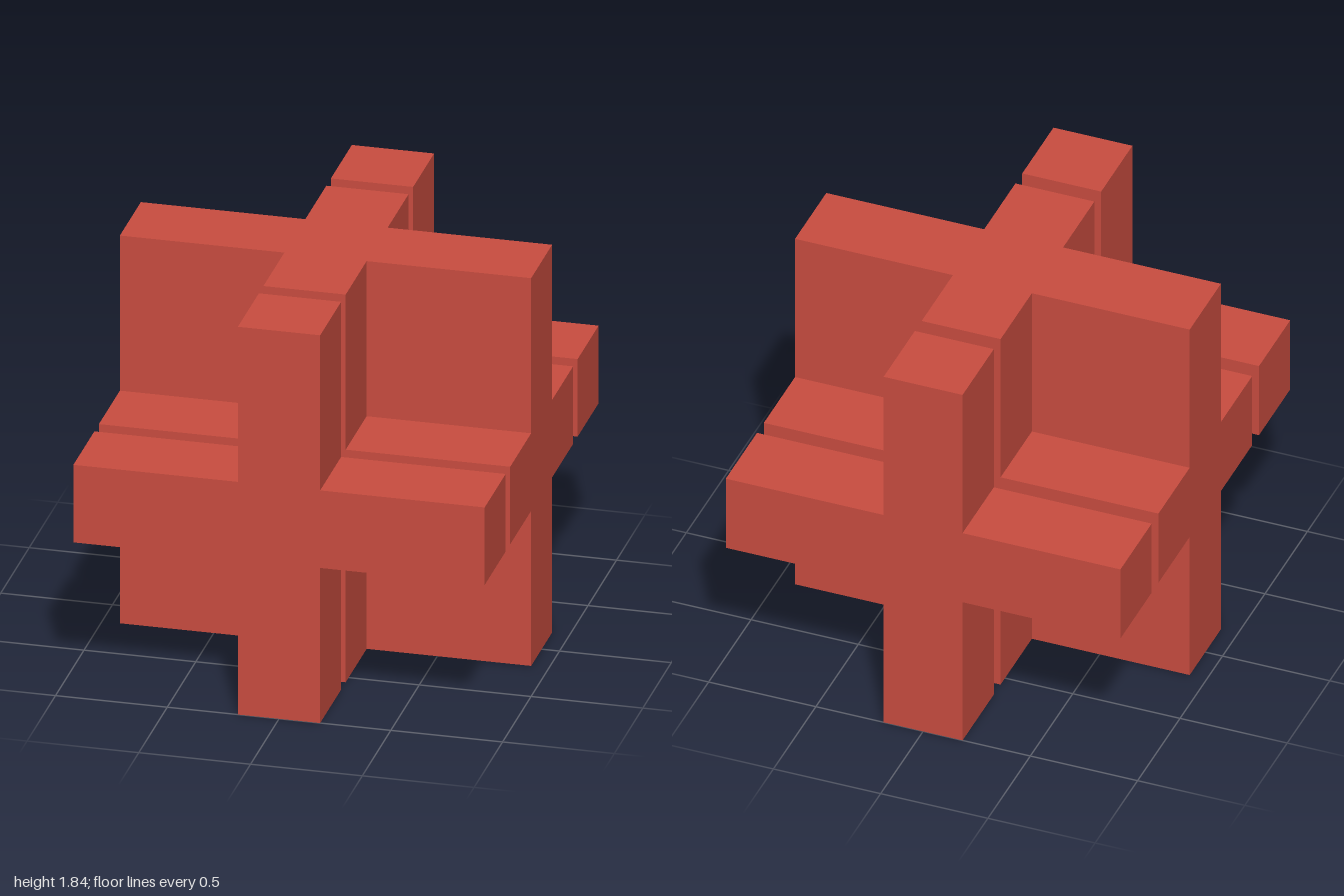
import * as THREE from 'three';

const HALF = 0.92;      // half extent of the cross arms
const ARM = 0.184;      // half thickness of every arm
const CORE = 0.552;     // half depth of the central body
const PLATE = 0.632;    // inner face of the detached end crosses
const END = 1.0;        // outer face of the end crosses

// Plus-shaped outline in the xy plane
function plusShape() {
  const a = ARM, h = HALF;
  return new THREE.Shape([
    [-a, -h], [a, -h], [a, -a], [h, -a], [h, a], [a, a],
    [a, h], [-a, h], [-a, a], [-h, a], [-h, -a], [-a, -a],
  ].map(([x, y]) => new THREE.Vector2(x, y)));
}

// Plus extruded between two depths
function cross(name, z0, z1, material) {
  const geometry = new THREE.ExtrudeGeometry(plusShape(), { depth: z1 - z0, bevelEnabled: false });
  geometry.translate(0, HALF, z0);
  const mesh = new THREE.Mesh(geometry, material);
  mesh.name = name;
  return mesh;
}

export function createModel() {
  const group = new THREE.Group();
  group.name = 'blockPuzzle';
  const red = new THREE.MeshStandardMaterial({ color: 0xca4d40 });
  red.name = 'brick red';

  // Detached crosses at the front and back
  group.add(cross('frontCross', PLATE, END, red));
  group.add(cross('backCross', -END, -PLATE, red));

  // Central body: a cross running through, with its corners filled by a slab
  group.add(cross('coreCross', -CORE, CORE, red));
  const size = HALF - ARM;
  for (const sx of [-1, 1]) {
    for (const sy of [-1, 1]) {
      const corner = new THREE.Mesh(new THREE.BoxGeometry(size, size, ARM * 2), red);
      corner.name = `${sy > 0 ? 'upper' : 'lower'}${sx > 0 ? 'Left' : 'Right'}Corner`;
      corner.position.set(sx * (ARM + size / 2), HALF + sy * (ARM + size / 2), 0);
      group.add(corner);
    }
  }
  return group;
}
